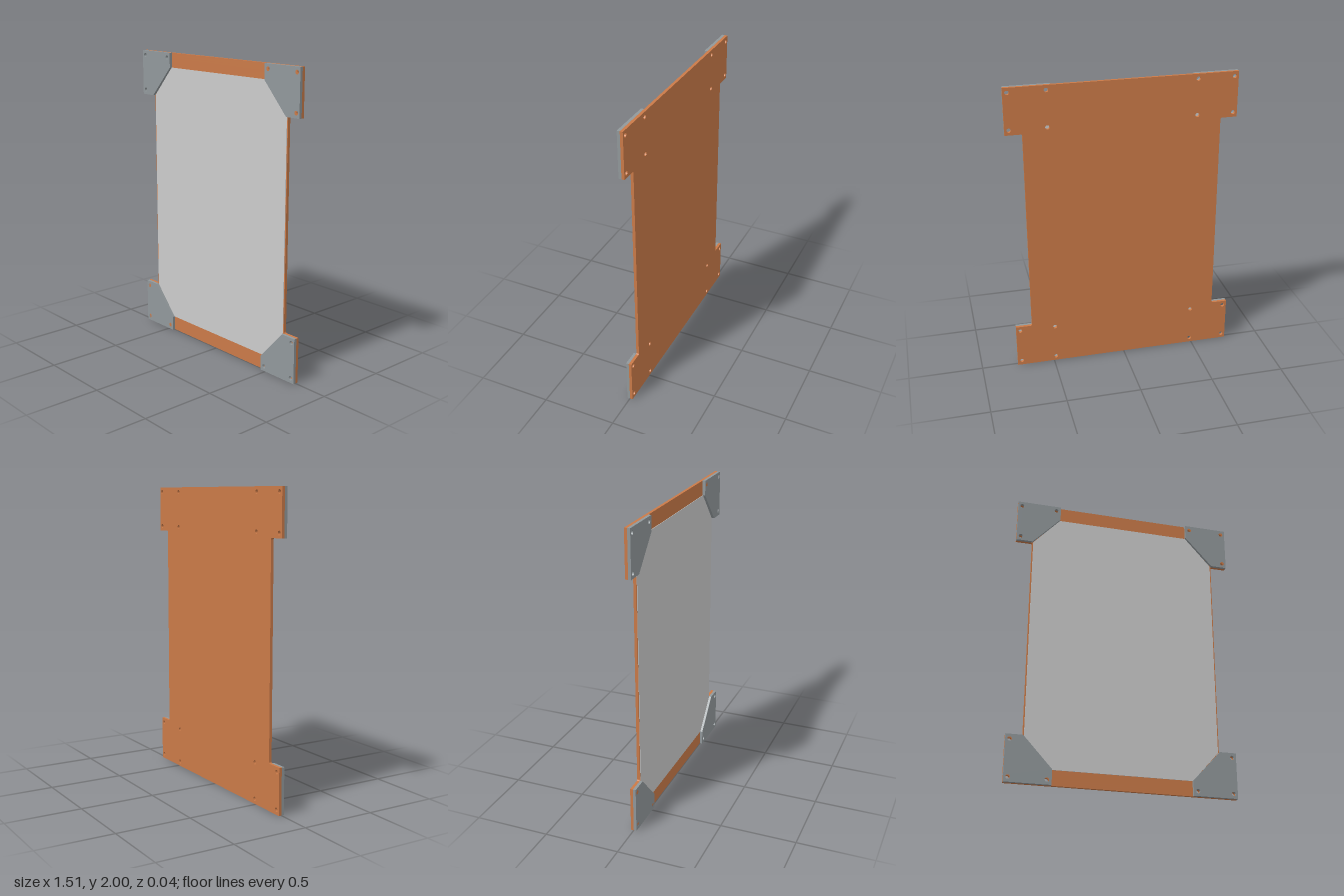
import * as THREE from 'three';

const W = 0.755, NECK = 0.645, H = 2, TAB = 0.305, T = 0.019;
const copper = new THREE.MeshStandardMaterial({ color: 0xca7a48 });
const steel = new THREE.MeshStandardMaterial({ color: 0x91989b });
const grey = new THREE.MeshStandardMaterial({ color: 0xcccccc });

// Bolt positions in one corner, measured from the centre line and the base
const bolts = [[0.728, 0.032], [0.487, 0.032], [0.728, 0.273]];
const innerBolt = [0.487, 0.273];

function addHole(shape, x, y) {
  const hole = new THREE.Path();
  hole.absarc(x, y, 0.014, 0, Math.PI * 2, true);
  shape.holes.push(hole);
}

function plate(name, shape, z, depth, material) {
  const geometry = new THREE.ExtrudeGeometry(shape, { depth, bevelEnabled: false, curveSegments: 12 });
  const mesh = new THREE.Mesh(geometry, material);
  mesh.name = name;
  mesh.position.z = z;
  return mesh;
}

const shapeFrom = (points) => new THREE.Shape(points.map(([x, y]) => new THREE.Vector2(x, y)));

export function createModel() {
  const model = new THREE.Group();
  model.name = 'mountedPanel';

  // Back plate: wide ends, narrower middle with small fillets at the notches
  const r = 0.012;
  const back = new THREE.Shape();
  back.moveTo(-W, 0);
  back.lineTo(W, 0);
  back.lineTo(W, TAB);
  back.lineTo(NECK + r, TAB);
  back.quadraticCurveTo(NECK, TAB, NECK, TAB + r);
  back.lineTo(NECK, H - TAB - r);
  back.quadraticCurveTo(NECK, H - TAB, NECK + r, H - TAB);
  back.lineTo(W, H - TAB);
  back.lineTo(W, H);
  back.lineTo(-W, H);
  back.lineTo(-W, H - TAB);
  back.lineTo(-NECK - r, H - TAB);
  back.quadraticCurveTo(-NECK, H - TAB, -NECK, H - TAB - r);
  back.lineTo(-NECK, TAB + r);
  back.quadraticCurveTo(-NECK, TAB, -NECK - r, TAB);
  back.lineTo(-W, TAB);
  back.closePath();
  for (const sx of [-1, 1]) {
    for (const top of [false, true]) {
      for (const [x, y] of [...bolts, innerBolt]) addHole(back, sx * x, top ? H - y : y);
    }
  }
  model.add(plate('backPlate', back, -T, T, copper));

  // Thin front sheet with chamfered corners
  const px = 0.638, cx = 0.458, y0 = 0.1, y1 = 0.302;
  const sheet = shapeFrom([
    [-cx, y0], [cx, y0], [px, y1], [px, H - y1],
    [cx, H - y0], [-cx, H - y0], [-px, H - y1], [-px, y1],
  ]);
  model.add(plate('frontSheet', sheet, 0, 0.003, grey));

  // Four corner clamps, mirrored about the centre lines
  for (const [side, sx] of [['left', 1], ['right', -1]]) {
    for (const [level, top] of [['lower', false], ['upper', true]]) {
      const place = ([x, y]) => [sx * x, top ? H - y : y];
      const clamp = shapeFrom([
        [W, 0], [W, TAB], [NECK, TAB], [0.457, 0.1], [0.457, 0],
      ].map(place));
      for (const bolt of bolts) addHole(clamp, ...place(bolt));
      model.add(plate(`${level}${side === 'left' ? 'Left' : 'Right'}Clamp`, clamp, 0, T, steel));
    }
  }
  return model;
}
